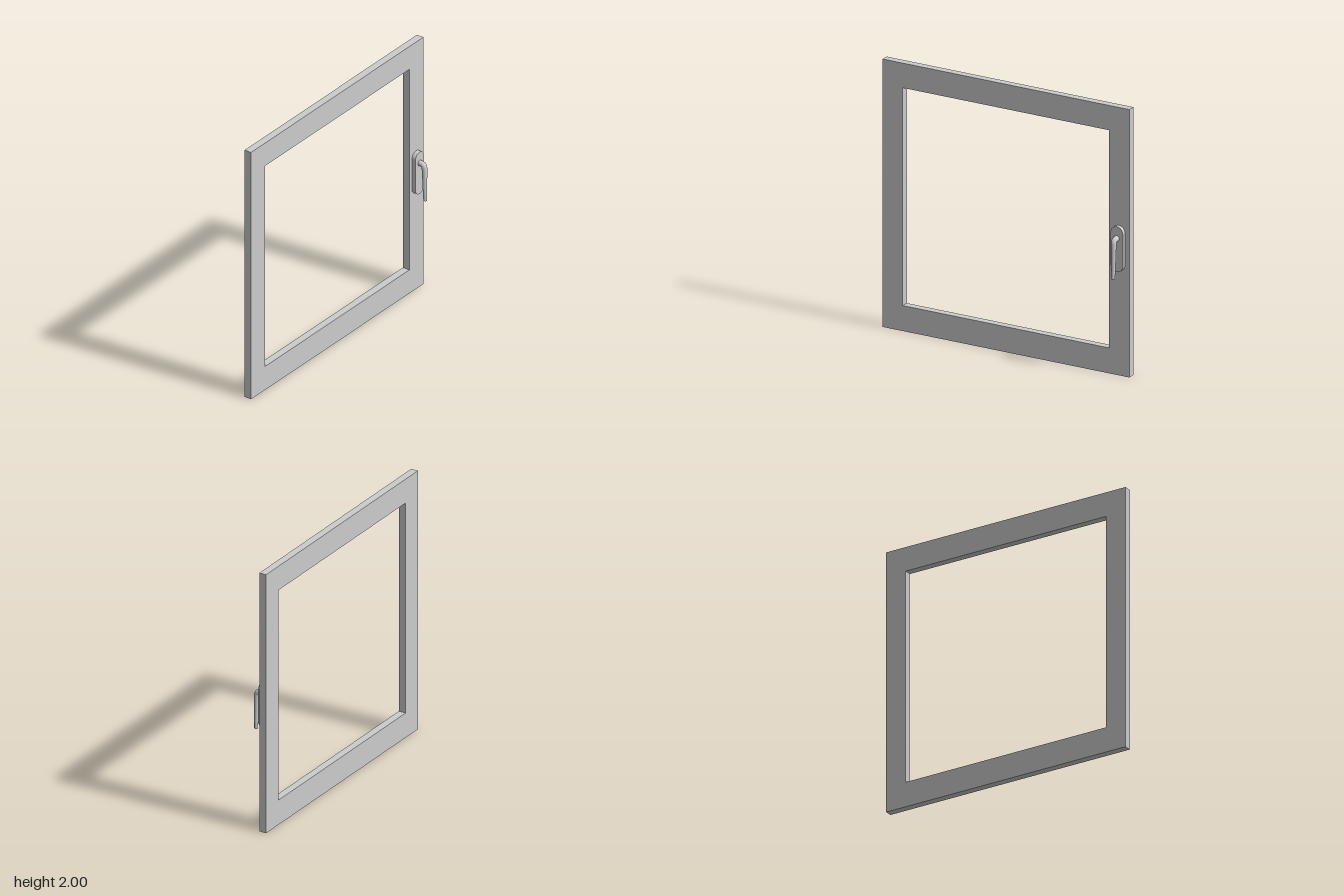
import * as THREE from 'three';

const material = new THREE.MeshStandardMaterial({ color: 0xcccccc });

function add(group, name, geometry, x = 0, y = 0, z = 0) {
  const mesh = new THREE.Mesh(geometry, material);
  mesh.name = name;
  mesh.position.set(x, y, z);
  group.add(mesh);
  return mesh;
}

// Rectangle outline from two corners
function rectangle(path, x0, y0, x1, y1) {
  return path.moveTo(x0, y0).lineTo(x1, y0).lineTo(x1, y1).lineTo(x0, y1).closePath();
}

// Tube whose radius follows radiusAt(t) along the curve
function taperedTube(curve, radiusAt, segments, sides) {
  const geometry = new THREE.TubeGeometry(curve, segments, 1, sides);
  const pos = geometry.attributes.position;
  const v = new THREE.Vector3();
  for (let i = 0; i <= segments; i++) {
    const centre = curve.getPointAt(i / segments);
    for (let j = 0; j <= sides; j++) {
      const k = i * (sides + 1) + j;
      v.fromBufferAttribute(pos, k).sub(centre).multiplyScalar(radiusAt(i / segments)).add(centre);
      pos.setXYZ(k, v.x, v.y, v.z);
    }
  }
  return geometry;
}

export function createModel() {
  const model = new THREE.Group();
  model.name = 'window';

  // Square sash with a rectangular opening
  const outline = rectangle(new THREE.Shape(), -0.995, 0, 0.995, 2);
  outline.holes.push(rectangle(new THREE.Path(), -0.833, 0.19, 0.833, 1.815));
  add(model, 'frame', new THREE.ExtrudeGeometry(outline, { depth: 0.056, bevelEnabled: false }), 0, 0, -0.074);

  const handle = new THREE.Group();
  handle.name = 'handle';
  handle.position.set(0.911, 0, 0);
  model.add(handle);

  // Rounded backplate
  const r = 0.049;
  const plate = new THREE.Shape();
  plate.absarc(0, 1.12 - r, r, 0, Math.PI);
  plate.absarc(0, 0.782 + r, r, Math.PI, Math.PI * 2);
  plate.closePath();
  add(handle, 'backplate', new THREE.ExtrudeGeometry(plate, { depth: 0.031, bevelEnabled: false, curveSegments: 24 }), 0, 0, -0.018);

  // Neck bending down into a slim tapering lever
  const points = [
    [1.032, 0.008], [1.032, 0.028], [1.028, 0.043], [1.014, 0.053],
    [0.99, 0.0555], [0.87, 0.058], [0.745, 0.061],
  ].map(([y, z]) => new THREE.Vector3(0, y, z));
  const curve = new THREE.CatmullRomCurve3(points);
  add(handle, 'lever', taperedTube(curve, (t) => 0.0215 - 0.0085 * t, 64, 24));

  // Flat end of the lever
  const cap = add(handle, 'leverEnd', new THREE.CircleGeometry(0.013, 24), 0, 0.745, 0.061);
  cap.quaternion.setFromUnitVectors(new THREE.Vector3(0, 0, 1), curve.getTangentAt(1));

  return model;
}
